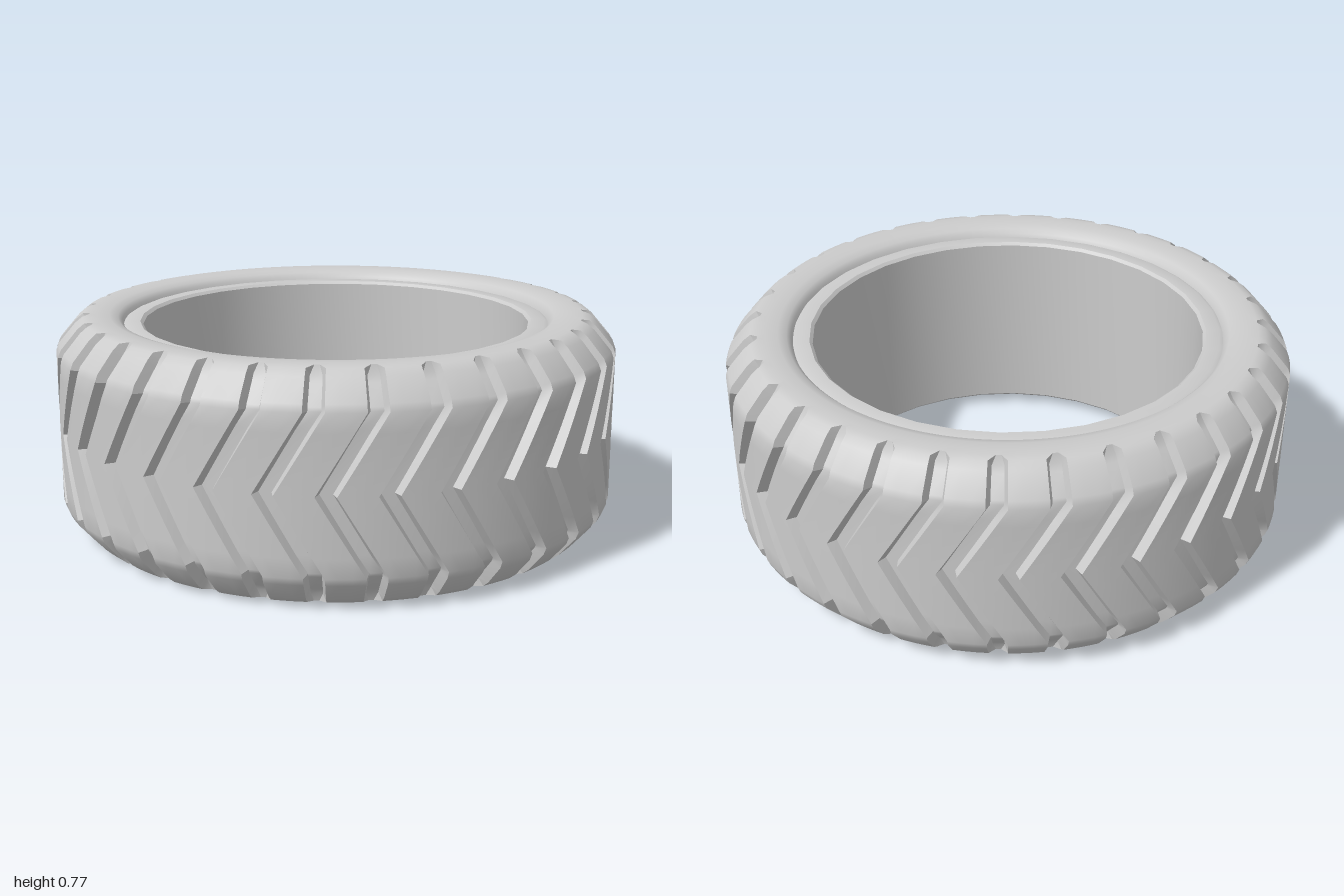
import * as THREE from 'three';
import { toCreasedNormals } from 'three/addons/utils/BufferGeometryUtils.js';

const MID = 0.385; // half the tyre width
const GROOVES = 32;
const PITCH = (Math.PI * 2) / GROOVES;
const SWEEP = 0.16; // how far the chevron apex trails its ends, in radians
const BEND = 0.265; // height from the middle where the chevron straightens

// Half cross-section from tread centre to bead:
// [radius, height from middle, normal angle in degrees, groove depth, groove width factor]
const HALF = [
  [1.0, 0, 0, 0.035, 1],
  [1.0, 0.07, 0, 0.035, 1],
  [1.0, 0.135, 0, 0.035, 1],
  [1.0, 0.2, 0, 0.035, 1],
  [1.0, 0.265, 8, 0.035, 1],
  [0.99, 0.29, 30, 0.035, 1],
  [0.93, 0.36, 48, 0.035, 1],
  [0.905, 0.38, 62, 0.03, 1],
  [0.88, 0.385, 85, 0, 0.35],
  [0.85, 0.385, 90, 0, 1],
  [0.81, 0.383, 90, 0, 1],
  [0.78, 0.374, 90, 0, 1],
  [0.765, 0.36, 90, 0, 1],
  [0.757, 0.34, 90, 0, 1],
];

// Columns of one tread pitch: [angle, share of groove depth, scales with groove width]
const COLUMNS = [
  [-0.034, 0, true],
  [-0.022, 1, true],
  [0.022, 1, true],
  [0.034, 0, true],
  [0.034 + (PITCH - 0.068) / 3, 0, false],
  [0.034 + ((PITCH - 0.068) * 2) / 3, 0, false],
];

// Tread and sidewalls: cross-section rows swept round, with grooves pressed in
function treadGeometry() {
  const rows = [
    ...HALF.slice(1).reverse().map((row) => ({ row, side: -1 })),
    ...HALF.map((row) => ({ row, side: 1 })),
  ];
  const positions = [];
  const indices = [];
  const count = GROOVES * COLUMNS.length;
  rows.forEach(({ row: [radius, height, angle, depth, width], side }, i) => {
    const tilt = THREE.MathUtils.degToRad(angle);
    const shift = -SWEEP * Math.max(0, 1 - height / BEND);
    for (let j = 0; j < count; j++) {
      const [offset, share, scales] = COLUMNS[j % COLUMNS.length];
      const theta = Math.floor(j / COLUMNS.length) * PITCH + shift + offset * (scales ? width : 1);
      const r = radius - depth * share * Math.cos(tilt);
      const h = height - depth * share * Math.sin(tilt);
      positions.push(r * Math.sin(theta), MID + side * h, r * Math.cos(theta));
      if (i === 0) continue;
      const next = (j + 1) % count;
      const a = (i - 1) * count + j;
      const b = (i - 1) * count + next;
      const c = i * count + next;
      const d = i * count + j;
      indices.push(a, b, c, a, c, d);
    }
  });
  const geometry = new THREE.BufferGeometry();
  geometry.setAttribute('position', new THREE.Float32BufferAttribute(positions, 3));
  geometry.setIndex(indices);
  return toCreasedNormals(geometry, 0.6);
}

// Bead rings and the inner wall, in one turned profile
function innerGeometry() {
  const top = [[0.765, 0.345], [0.75, 0.352], [0.703, 0.352], [0.692, 0.342]];
  const points = [
    ...top.map(([r, h]) => new THREE.Vector2(r, MID + h)),
    ...top.reverse().map(([r, h]) => new THREE.Vector2(r, MID - h)),
  ];
  return toCreasedNormals(new THREE.LatheGeometry(points, 32), 0.5);
}

export function createModel() {
  const model = new THREE.Group();
  model.name = 'tyre';
  const rubber = new THREE.MeshStandardMaterial({ color: 0xcccccc });

  const tread = new THREE.Mesh(treadGeometry(), rubber);
  tread.name = 'treadAndSidewalls';

  const inner = new THREE.Mesh(innerGeometry(), rubber);
  inner.name = 'beadAndInnerWall';

  model.add(tread, inner);
  return model;
}
